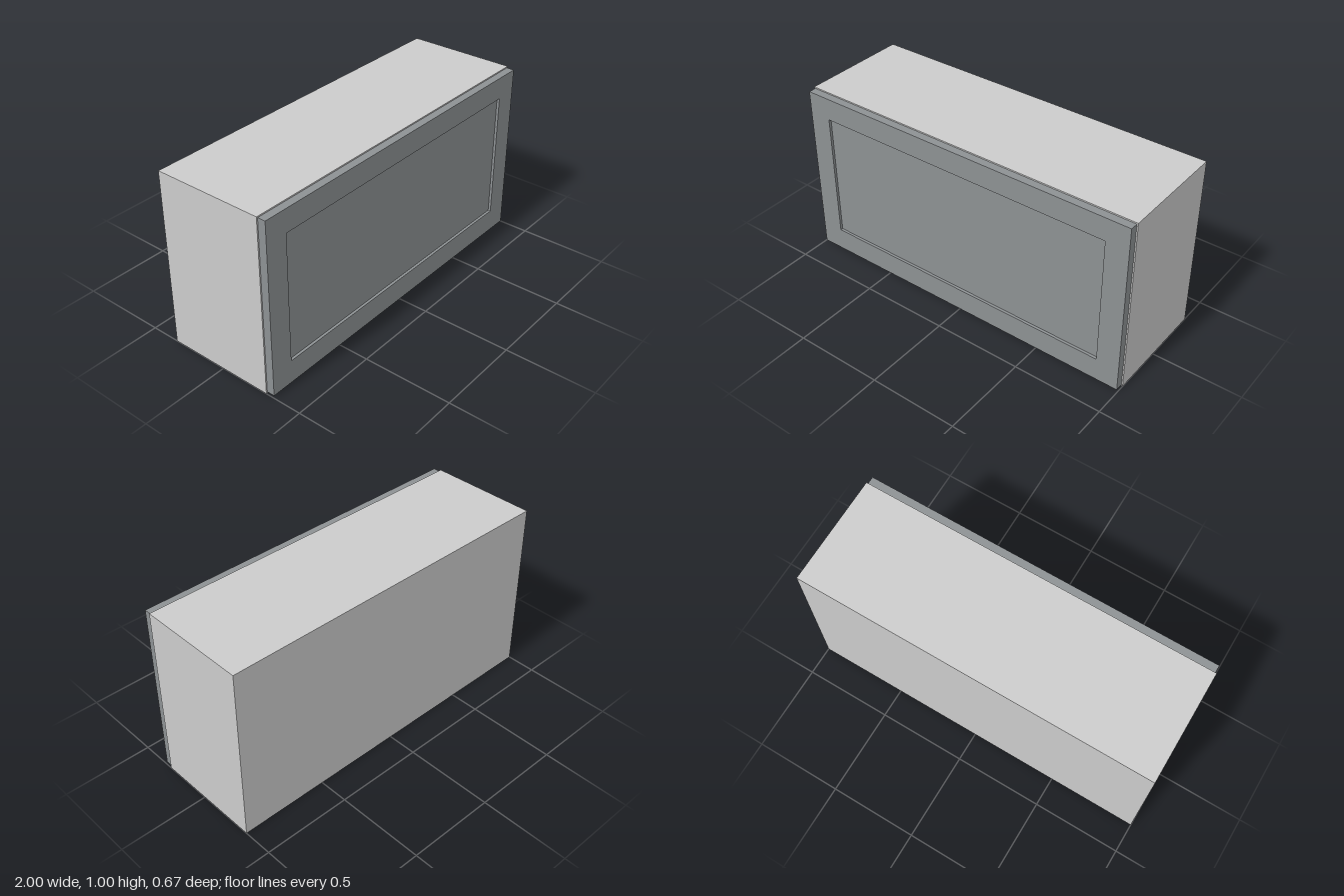
import * as THREE from 'three';

const BODY = new THREE.MeshStandardMaterial({ color: 0xcccccc });
const DOOR = new THREE.MeshStandardMaterial({ color: 0x8d9193 });

// Box given by its lower and upper corners
function panel(name, [x0, y0, z0], [x1, y1, z1], material) {
  const mesh = new THREE.Mesh(new THREE.BoxGeometry(x1 - x0, y1 - y0, z1 - z0), material);
  mesh.position.set((x0 + x1) / 2, (y0 + y1) / 2, (z0 + z1) / 2);
  mesh.name = name;
  return mesh;
}

function rectangle(PathType, x, y0, y1) {
  return new PathType([[-x, y0], [x, y0], [x, y1], [-x, y1]].map(p => new THREE.Vector2(...p)));
}

export function createModel() {
  const model = new THREE.Group();
  model.name = 'wallCabinet';

  const back = -0.333, bodyFront = 0.289, doorFront = 0.333;
  const t = 0.04, inner = 1 - t;

  // Carcass: two full-height sides with top, bottom and back between them
  const carcass = new THREE.Group();
  carcass.name = 'carcass';
  carcass.add(
    panel('leftSide', [inner, 0, back], [1, 1, bodyFront], BODY),
    panel('rightSide', [-1, 0, back], [-inner, 1, bodyFront], BODY),
    panel('topPanel', [-inner, 1 - t, back], [inner, 1, bodyFront], BODY),
    panel('bottomPanel', [-inner, 0, back], [inner, t, bodyFront], BODY),
    panel('backPanel', [-inner, t, back], [inner, 1 - t, back + 0.02], BODY)
  );

  // Door: a frame around a slightly recessed panel
  const door = new THREE.Group();
  door.name = 'door';
  const outline = rectangle(THREE.Shape, 0.993, 0.007, 0.993);
  outline.holes.push(rectangle(THREE.Path, 0.865, 0.138, 0.866));
  const frame = new THREE.Mesh(
    new THREE.ExtrudeGeometry(outline, { depth: doorFront - bodyFront, bevelEnabled: false }), DOOR);
  frame.position.z = bodyFront;
  frame.name = 'doorFrame';
  door.add(frame, panel('doorPanel', [-0.865, 0.138, bodyFront], [0.865, 0.866, doorFront - 0.015], DOOR));

  model.add(carcass, door);
  return model;
}
